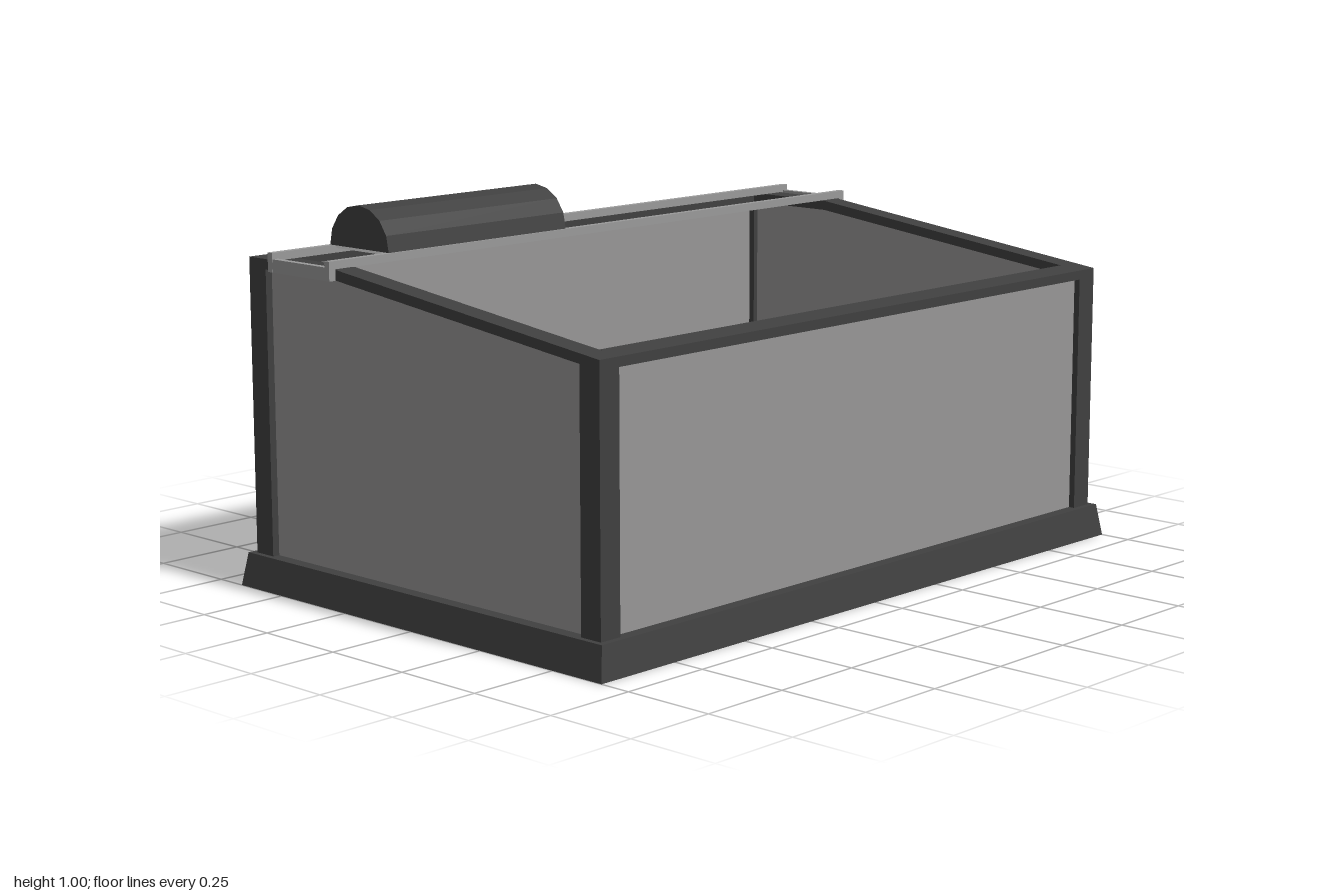
import * as THREE from 'three';

const mat = (name, color, side = THREE.FrontSide) => {
  const m = new THREE.MeshStandardMaterial({ color, side });
  m.name = name;
  return m;
};

export function createModel() {
  const root = new THREE.Group();
  root.name = 'terrarium';
  const frameMat = mat('charcoal frame', 0x404040);
  const glassMat = mat('grey glass', 0x979696);
  const railMat = mat('light grey metal', 0x9a9a9a);
  const rockMat = mat('dark stone', 0x444444, THREE.DoubleSide);
  const sandMat = mat('pale sand', 0x9c9997, THREE.DoubleSide);
  const woodMat = mat('brown wood', 0x5c422c);
  const lightMat = mat('white light', 0xffffff);

  const add = (name, geo, material, parent = root) => {
    const m = new THREE.Mesh(geo, material);
    m.name = name;
    parent.add(m);
    return m;
  };
  // Box given by its minimum and maximum on each axis
  const box = (name, material, x0, x1, y0, y1, z0, z1) => {
    const m = add(name, new THREE.BoxGeometry(x1 - x0, y1 - y0, z1 - z0), material);
    m.position.set((x0 + x1) / 2, (y0 + y1) / 2, (z0 + z1) / 2);
    return m;
  };
  // Front-facing outline extruded from z0 to z1
  const slab = (name, material, pts, z0, z1) => {
    const shape = new THREE.Shape(pts.map(p => new THREE.Vector2(...p)));
    const geo = new THREE.ExtrudeGeometry(shape, { depth: z1 - z0, bevelEnabled: false });
    return add(name, geo.translate(0, 0, z0), material);
  };

  // Plinth, narrowing slightly towards the top
  const baseGeo = new THREE.BoxGeometry(1.326, 0.088, 2);
  const bp = baseGeo.attributes.position;
  for (let i = 0; i < bp.count; i++) {
    if (bp.getY(i) > 0) bp.setXYZ(i, Math.sign(bp.getX(i)) * 0.65, bp.getY(i), Math.sign(bp.getZ(i)) * 0.985);
  }
  baseGeo.computeVertexNormals();
  add('base', baseGeo, frameMat).position.y = 0.044;

  // Corner posts, end panes and sloping end rims
  for (const s of [-1, 1]) {
    const [z0, z1] = s > 0 ? [0.905, 0.97] : [-0.97, -0.905];
    box('leftPost', frameMat, -0.632, -0.567, 0.08, 0.85, z0, z1);
    box('rightPost', frameMat, 0.567, 0.632, 0.08, 0.74, z0, z1);
    slab('endRim', frameMat, [[-0.632, 0.843], [-0.29, 0.843], [0.632, 0.732], [0.632, 0.757],
      [-0.29, 0.87], [-0.632, 0.87]], z0, z1);
    slab('endPane', glassMat, [[-0.58, 0.08], [0.58, 0.08], [0.58, 0.745], [-0.29, 0.85], [-0.58, 0.85]],
      s * 0.935 - 0.015, s * 0.935 + 0.015);
  }
  // Long side rims and panes
  box('highRim', frameMat, -0.632, -0.567, 0.843, 0.87, -0.905, 0.905);
  slab('lowRim', frameMat, [[0.567, 0.732], [0.632, 0.732], [0.632, 0.757], [0.567, 0.765]], -0.905, 0.905);
  box('highSidePane', glassMat, -0.615, -0.585, 0.08, 0.85, -0.92, 0.92);
  box('lowSidePane', glassMat, 0.585, 0.615, 0.08, 0.74, -0.92, 0.92);

  // Lamp rails with hooked ends
  for (const x of [-0.521, -0.299]) {
    box('lampRail', railMat, x - 0.009, x + 0.009, 0.872, 0.893, -0.99, 0.99);
    for (const s of [-1, 1]) box('railHook', railMat, x - 0.009, x + 0.009, 0.843, 0.893, s * 0.982 - 0.01, s * 0.982 + 0.01);
  }
  for (const s of [-1, 1]) box('railCrossbar', railMat, -0.521, -0.299, 0.843, 0.877, s * 0.982 - 0.009, s * 0.982 + 0.009);

  // Half-round lamp hood, with a light panel under it
  const hood = [];
  for (let i = 0; i <= 8; i++) {
    const a = i * Math.PI / 8;
    hood.push([-0.41 + 0.114 * Math.cos(a), 0.893 + 0.112 * Math.sin(a)]);
  }
  slab('lampHood', frameMat, hood, 0.16, 0.79);
  box('lightPanel', lightMat, -0.511, -0.309, 0.884, 0.893, 0.17, 0.78);

  // Sand bed, rising towards the front
  const sandHeight = (x, z) => 0.11 + 0.08 * THREE.MathUtils.smoothstep(z, 0.35, 0.92)
    + 0.006 * Math.sin(x * 7 + 1) * Math.cos(z * 5);
  const sand = new THREE.PlaneGeometry(1.17, 1.84, 24, 36).rotateX(-Math.PI / 2);
  const sp = sand.attributes.position;
  for (let i = 0; i < sp.count; i++) sp.setY(i, sandHeight(sp.getX(i), sp.getZ(i)));
  sand.computeVertexNormals();
  add('sandBed', sand, sandMat);

  // Rock ledge in the front corner: a quarter outline shrunk towards the corner as it rises
  const outline = new THREE.CatmullRomCurve3([[-0.575, -0.07], [-0.3, -0.065], [-0.1, -0.03], [0.02, 0.05],
    [0.1, 0.17], [0.135, 0.32], [0.125, 0.6], [0.135, 0.91]].map(([x, z]) => new THREE.Vector3(x, 0, z))).getPoints(24);
  const layers = [[1, 0.07], [0.985, 0.26], [0.95, 0.34], [0.9, 0.39], [0.7, 0.44], [0.4, 0.48], [0, 0.5]];
  const pos = [], idx = [], n = outline.length;
  layers.forEach(([k, y], j) => outline.forEach((p, i) => {
    pos.push(-0.575 + (p.x + 0.575) * k, y, 0.91 + (p.z - 0.91) * k);
    if (j && i) {
      const d = j * n + i, c = d - 1, b = d - n, a = b - 1;
      idx.push(a, b, d, a, d, c);
    }
  }));
  const ledge = new THREE.BufferGeometry();
  ledge.setAttribute('position', new THREE.Float32BufferAttribute(pos, 3));
  ledge.setIndex(idx);
  ledge.computeVertexNormals();
  // Turn the faces outward
  if (ledge.attributes.normal.getY(4 * n + 12) < 0) {
    for (let i = 0; i < idx.length; i += 3) [idx[i], idx[i + 1]] = [idx[i + 1], idx[i]];
    ledge.setIndex(idx);
    ledge.computeVertexNormals();
  }
  add('rockLedge', ledge, rockMat);

  // Pile of rounded stones: x, y, z, then radii and turn
  const pile = new THREE.Group();
  pile.name = 'stonePile';
  root.add(pile);
  for (const [x, y, z, rx, ry, rz, turn] of [
    [-0.46, 0.24, -0.74, 0.105, 0.125, 0.125, -0.3], [-0.3, 0.17, -0.83, 0.075, 0.06, 0.075, 0],
    [-0.305, 0.22, -0.64, 0.082, 0.11, 0.12, 0], [-0.42, 0.33, -0.6, 0.075, 0.06, 0.075, 0],
    [-0.435, 0.21, -0.465, 0.115, 0.12, 0.15, 0.4]]) {
    const stone = add('stone', new THREE.SphereGeometry(1, 24, 16), rockMat, pile);
    stone.position.set(x, y, z);
    stone.scale.set(rx, ry, rz);
    stone.rotation.y = turn;
  }

  // Forked branch lying on the sand
  const branch = new THREE.Group();
  branch.name = 'branch';
  root.add(branch);
  const limb = (name, from, to, r0, r1) => {
    const a = new THREE.Vector3(...from), b = new THREE.Vector3(...to), dir = b.clone().sub(a);
    const m = add(name, new THREE.CylinderGeometry(r1, r0, dir.length(), 14), woodMat, branch);
    m.position.copy(a).add(b).multiplyScalar(0.5);
    m.quaternion.setFromUnitVectors(new THREE.Vector3(0, 1, 0), dir.normalize());
  };
  limb('branchButt', [0.48, 0.17, -0.85], [0.48, 0.17, -0.62], 0.045, 0.039);
  limb('branchMiddle', [0.48, 0.17, -0.62], [0.485, 0.16, -0.35], 0.039, 0.035);
  limb('branchTip', [0.485, 0.16, -0.35], [0.483, 0.15, -0.2], 0.035, 0.021);
  limb('branchEnd', [0.483, 0.15, -0.2], [0.482, 0.15, -0.165], 0.021, 0.005);
  limb('sideLimb', [0.48, 0.17, -0.63], [0.245, 0.22, -0.755], 0.03, 0.044);

  // Small chips scattered on the sand
  [[-0.18, -0.76], [0.0, -0.62], [0.07, -0.41], [0.07, -0.86], [-0.03, -0.33], [-0.28, -0.25], [0.43, -0.89]].forEach(([x, z], i) => {
    const chip = add('chip', new THREE.BoxGeometry(0.012, 0.008, i === 2 ? 0.03 : 0.015), woodMat);
    chip.position.set(x, sandHeight(x, z) + 0.003, z);
    chip.rotation.y = i;
  });
  return root;
}
